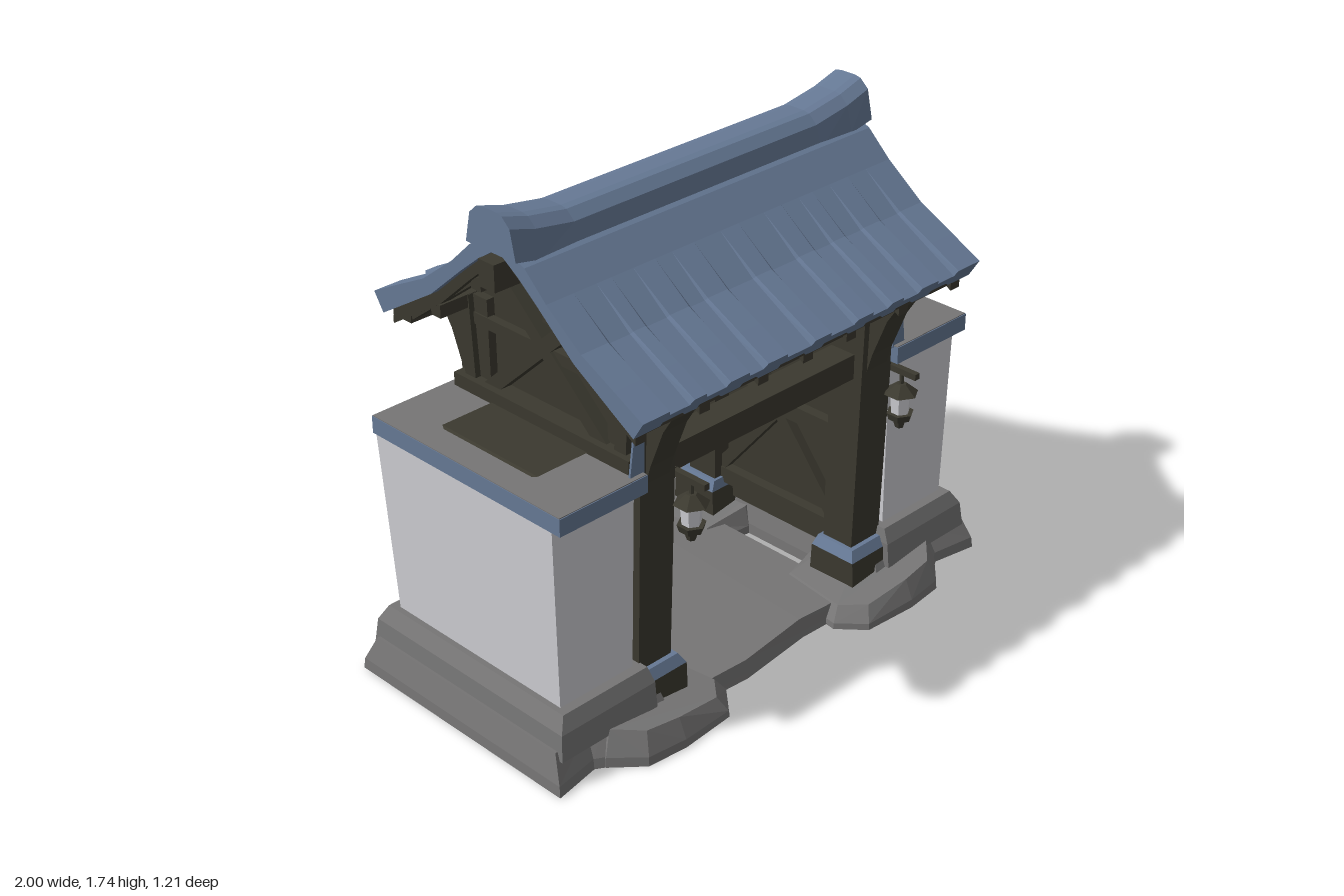
import * as THREE from 'three';

const mat = (name, color) => {
  const m = new THREE.MeshStandardMaterial({ color });
  m.name = name;
  return m;
};

// Solid through equal-sized rings of [x, y, z]; every face is flat
function loft(rings) {
  const n = rings[0].length, tris = [];
  const quad = (a, b, c, d) => tris.push([a, b, c], [a, c, d]);
  for (let r = 0; r < rings.length - 1; r++)
    for (let i = 0; i < n; i++) {
      const j = (i + 1) % n;
      quad(rings[r][i], rings[r][j], rings[r + 1][j], rings[r + 1][i]);
    }
  const last = rings[rings.length - 1], first = rings[0];
  for (let i = 0; i < n / 2 - 1; i++) {
    quad(last[i], last[i + 1], last[n - 2 - i], last[n - 1 - i]);
    quad(first[n - 1 - i], first[n - 2 - i], first[i + 1], first[i]);
  }
  // Turn the faces outward when the signed volume is negative
  const v = tris.map(t => t.map(p => new THREE.Vector3(...p)));
  const volume = v.reduce((s, [a, b, c]) => s + a.dot(b.clone().cross(c)), 0);
  if (volume < 0) v.forEach(t => t.reverse());
  const geo = new THREE.BufferGeometry().setFromPoints(v.flat());
  geo.computeVertexNormals();
  return geo;
}

export function createModel() {
  const roofBlue = mat('roofBlue', 0x667995);
  const wood = mat('darkWood', 0x3b392f);
  const stone = mat('stone', 0x767575);
  const plaster = mat('plaster', 0xcfcfd4);
  const model = new THREE.Group();
  model.name = 'roofedGate';

  const add = (name, geo, material, parent = model) => {
    const m = new THREE.Mesh(geo, material);
    m.name = name;
    parent.add(m);
    return m;
  };
  const box = (name, material, x, y, z, w, h, d, parent) => {
    const m = add(name, new THREE.BoxGeometry(w, h, d), material, parent);
    m.position.set(x, y, z);
    return m;
  };
  // Square timber from a to b
  const bar = (name, a, b, w, h) => {
    const p = new THREE.Vector3(...a), q = new THREE.Vector3(...b);
    const m = add(name, new THREE.BoxGeometry(w, h, p.distanceTo(q)), wood);
    m.position.copy(p).add(q).multiplyScalar(0.5);
    m.lookAt(q);
  };
  // Block between two rectangles [x0, x1, z0, z1]; s mirrors x
  const block = (name, material, s, lo, y0, hi, y1) => {
    const ring = ([a, b, c, d], y) => [[s * a, y, c], [s * b, y, c], [s * b, y, d], [s * a, y, d]];
    return add(name, loft([ring(lo, y0), ring(hi, y1)]), material);
  };
  // Rough slab: outline of [x, z] with heights, shrunk towards its middle at the top
  const slab = (name, s, outline, heights, shrink, cx, cz) =>
    add(name, loft([
      outline.map(([x, z]) => [s * x, 0, z]),
      outline.map(([x, z], i) => [s * (cx + (x - cx) * 0.99), heights[i] * 0.3, cz + (z - cz) * 0.99]),
      outline.map(([x, z], i) => [s * (cx + (x - cx) * shrink), heights[i], cz + (z - cz) * shrink]),
    ]), stone);

  // Paving and footing stones
  slab('pathSlab', 1, [[-0.42, -0.42], [-0.1, -0.46], [0.2, -0.43], [0.42, -0.44],
    [0.42, 0.44], [0.15, 0.43], [-0.15, 0.46], [-0.42, 0.44]],
    [0.06, 0.065, 0.07, 0.065, 0.06, 0.07, 0.065, 0.06], 0.97, 0, 0);
  for (const s of [-1, 1]) {
    slab('wallFooting', s, [[0.5, -0.47], [0.78, -0.48], [0.83, -0.45], [1, -0.48],
      [1, 0.48], [0.83, 0.45], [0.78, 0.48], [0.5, 0.47]],
      [0.13, 0.125, 0.12, 0.13, 0.13, 0.12, 0.125, 0.13], 0.9, 0.72, 0);
    for (const f of [-1, 1])
      slab('postFooting', s, [[0.3, 0.18 * f], [0.26, 0.47 * f], [0.34, 0.56 * f], [0.55, 0.575 * f],
        [0.7, 0.56 * f], [0.8, 0.47 * f], [0.78, 0.2 * f], [0.5, 0.15 * f]],
        [0.07, 0.07, 0.075, 0.1, 0.11, 0.12, 0.13, 0.1], 0.86, 0.55, 0.34 * f);
    // Side wall with plinth and coping
    block('wallPlinth', stone, s, [0.56, 0.965, -0.455, 0.455], 0.1, [0.56, 0.955, -0.445, 0.445], 0.19);
    block('plinthBevel', stone, s, [0.56, 0.955, -0.445, 0.445], 0.19, [0.57, 0.925, -0.42, 0.42], 0.24);
    block('plasterWall', plaster, s, [0.6, 0.905, -0.385, 0.385], 0.235, [0.59, 0.922, -0.425, 0.39], 0.89);
    block('wallCoping', roofBlue, s, [0.575, 0.93, -0.43, 0.435], 0.885, [0.575, 0.93, -0.43, 0.435], 0.945);
    box('copingTop', stone, s * 0.752, 0.946, 0.002, 0.352, 0.004, 0.86);
    block('copingBoard', wood, s, [0.57, 0.83, -0.2, 0.2], 0.947, [0.57, 0.82, -0.22, 0.22], 0.953);

    // Gable panel with the side screen below
    const panel = [[-0.36, 0.12], [-0.4, 0.95], [-0.52, 1.2], [-0.18, 1.45], [0, 1.58],
      [0, 1.58], [0.18, 1.45], [0.52, 1.2], [0.4, 0.95], [0.36, 0.12]];
    add('gablePanel', loft([0.505, 0.55].map(x => panel.map(([z, y]) => [s * x, y, z]))), wood);
    // Inner screen frame and cross braces
    const ix = s * 0.49;
    for (const y of [0.22, 0.6, 0.93]) box('screenRail', wood, ix, y, 0, 0.05, 0.06, 0.6);
    bar('screenBrace', [ix, 0.24, -0.28], [ix, 0.92, 0.28], 0.04, 0.045);
    bar('screenBrace', [ix, 0.24, 0.28], [ix, 0.92, -0.28], 0.04, 0.045);
    // Outer gable timbers
    const ox = s * 0.57;
    box('gableSill', wood, s * 0.585, 0.97, 0, 0.07, 0.05, 0.8);
    box('gableTie', wood, ox, 1.2, 0, 0.03, 0.04, 0.9);
    for (const f of [-1, 1]) {
      bar('gableBrace', [ox, 0.96, 0.28 * f], [ox, 1.4, -0.2 * f], 0.05, 0.05);
      bar('gableStud', [ox, 0.96, 0.34 * f], [ox, 1.28, 0.36 * f], 0.06, 0.05);
      bar('gableRafter', [s * 0.68, 1.55, 0.03 * f], [s * 0.68, 1.2, 0.5 * f], 0.05, 0.05);

      // Corner post, its shoe and curved eave bracket
      block('cornerPost', wood, s, [0.435, 0.575, 0.26 * f, 0.385 * f], 0.1, [0.43, 0.58, 0.27 * f, 0.415 * f], 1.28);
      block('postShoe', wood, s, [0.4, 0.595, 0.235 * f, 0.43 * f], 0.08, [0.4, 0.59, 0.24 * f, 0.425 * f], 0.175);
      block('shoeCap', roofBlue, s, [0.4, 0.59, 0.24 * f, 0.425 * f], 0.175, [0.42, 0.58, 0.25 * f, 0.405 * f], 0.21);
      const curve = [[0.39, 0.84], [0.425, 0.96], [0.48, 1.1], [0.55, 1.21], [0.46, 1.25], [0.36, 1.25], [0.36, 1], [0.36, 0.84]];
      add('eaveBracket', loft([0.455, 0.555].map(x => curve.map(([z, y]) => [s * x, y, z * f]))), wood);
    }
    // Blue flashing where the coping meets the gable
    add('flashing', loft([0.408, 0.416].map(z => [[s * 0.57, 0.94, z], [s * 0.63, 0.94, z], [s * 0.595, 1.2, z], [s * 0.57, 1.2, z]])), roofBlue);
  }

  // Cross beam between the front posts
  box('crossBeam', wood, 0, 0.905, 0.32, 0.9, 0.09, 0.1);

  // Roof slopes: tile rolls rise from the surface towards the eaves
  const rolls = [[-0.757, -0.65], [-0.55, -0.5], [-0.4, -0.32], [-0.24, -0.155], [-0.03, 0.04],
    [0.165, 0.235], [0.325, 0.38], [0.47, 0.55], [0.65, 0.757]];
  const columns = rolls.flatMap(([a, b]) => [[a - 0.01, 0], [a, 1], [b, 1], [b + 0.01, 0]]).slice(1, -1);
  const top = [[0, 1.635], [0.12, 1.58], [0.21, 1.495], [0.35, 1.38], [0.48, 1.305], [0.595, 1.24]];
  const under = [[0, 1.6], [0.09, 1.54], [0.17, 1.475], [0.32, 1.345], [0.45, 1.265], [0.565, 1.195]];
  const fade = [0, 0, 0, 0.35, 0.75, 1];
  const lower = d => under.map(([z, y]) => [z * 0.97, y - d]);
  for (const f of [-1, 1]) {
    add('roofSlope', loft(columns.map(([x, up]) => [
      ...top.map(([z, y], i) => [x, y + up * fade[i] * 0.018, f * (z + up * fade[i] * 0.01)]),
      ...under.map(([z, y], i) => [x, y + (1 - up) * fade[i] * 0.008, f * z]).reverse(),
    ])), roofBlue);
    // Boards and rafters under the tiles
    const strip = (name, x0, x1, d0, d1) => add(name, loft([x0, x1].map(x => [
      ...lower(d0).map(([z, y]) => [x, y, f * z]),
      ...lower(d1).map(([z, y]) => [x, y, f * z]).reverse(),
    ])), wood);
    strip('roofBoards', -0.73, 0.73, -0.012, 0.012);
    for (const x of [-0.71, -0.45, -0.2, 0, 0.2, 0.45, 0.71]) strip('rafter', x - 0.022, x + 0.022, 0.01, 0.04);
    for (const [z, y] of [[0.16, 1.42], [0.36, 1.26], [0.51, 1.19]])
      box('purlin', wood, 0, y, f * z, 1.42, 0.045, 0.045);
  }
  box('ridgeBeam', wood, 0, 1.53, 0, 1.6, 0.09, 0.07);

  // Ridge cap with raised ends
  const ridge = [[-0.78, 1.735, 1.6], [-0.68, 1.705, 1.58], [-0.53, 1.68, 1.565],
    [0.53, 1.68, 1.565], [0.68, 1.705, 1.58], [0.78, 1.735, 1.6]];
  add('ridgeCap', loft(ridge.map(([x, t, b]) => [[0.11, b], [0.088, t - 0.035], [0.055, t - 0.005], [0.03, t],
    [-0.03, t], [-0.055, t - 0.005], [-0.088, t - 0.035], [-0.11, b]].map(([z, y]) => [x, y, z]))), roofBlue);

  // Hanging lanterns
  for (const x of [-0.4, 0.59]) {
    const lamp = new THREE.Group();
    lamp.name = 'lantern';
    lamp.position.set(x, 0, 0.445);
    model.add(lamp);
    const part = (name, r1, r0, h, y, m) => {
      const g = new THREE.CylinderGeometry(r1, r0, h, 6).toNonIndexed();
      g.computeVertexNormals();
      add(name, g, m, lamp).position.y = y;
    };
    box('lanternArm', wood, 0, 0.86, -0.01, 0.022, 0.022, 0.15, lamp);
    box('lanternArmRoot', wood, x < 0 ? -0.03 : -0.02, 0.86, -0.09, 0.07, 0.03, 0.04, lamp);
    part('lanternHook', 0.008, 0.008, 0.05, 0.835, wood);
    part('lanternRoof', 0.018, 0.06, 0.035, 0.795, wood);
    part('lanternGlass', 0.038, 0.032, 0.075, 0.742, plaster);
    part('lanternBase', 0.048, 0.04, 0.025, 0.693, wood);
    part('lanternFoot', 0.026, 0.015, 0.035, 0.665, wood);
  }
  return model;
}
